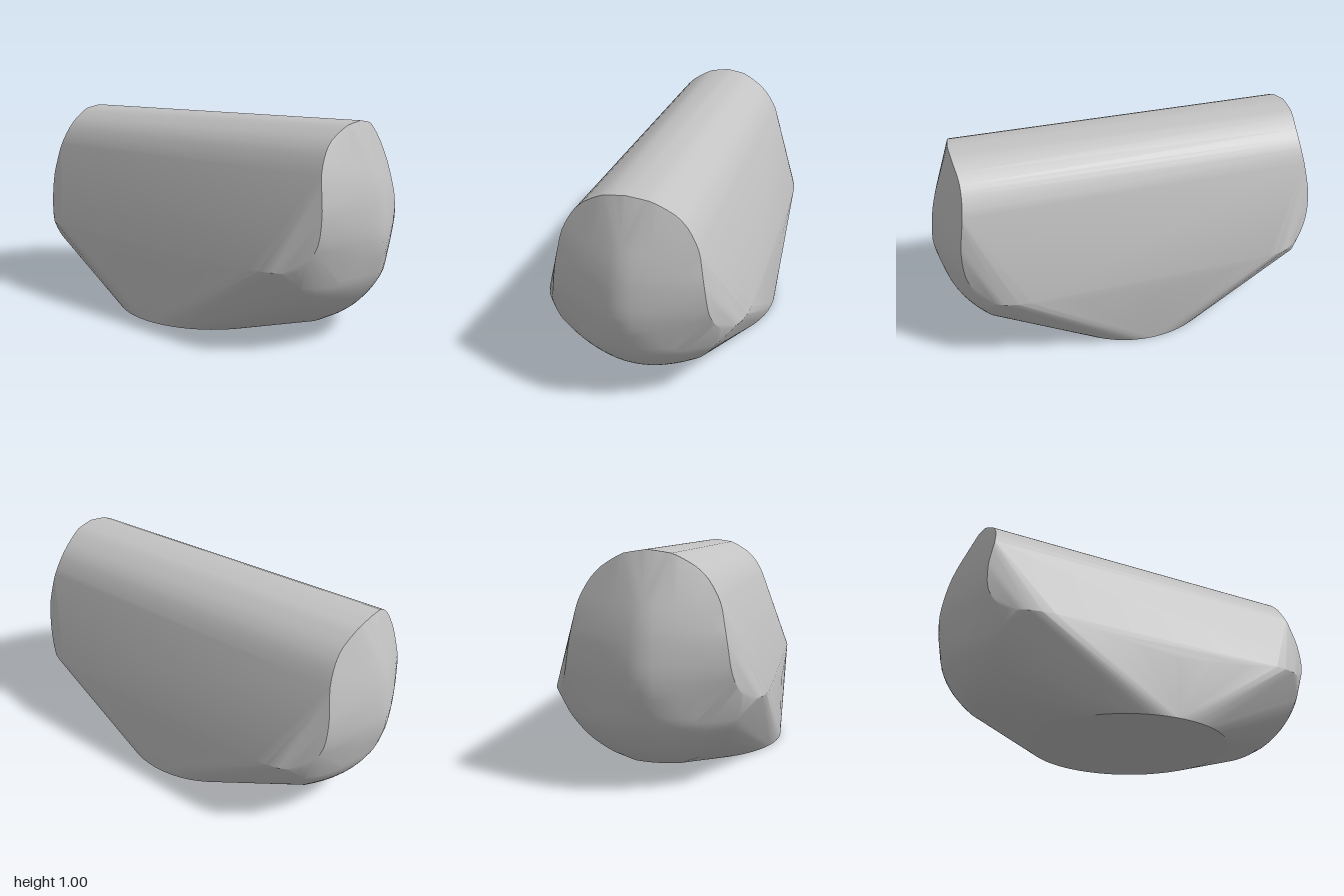
import * as THREE from 'three';
import { ConvexGeometry } from 'three/addons/geometries/ConvexGeometry.js';
import { toCreasedNormals } from 'three/addons/utils/BufferGeometryUtils.js';

// End cap sections from top to bottom: y, centre z, half width, edge z
const SECTIONS = [
  [1, 0.86, 0, 0.86],
  [0.985, 0.865, 0.1, 0.853],
  [0.93, 0.885, 0.2, 0.838],
  [0.88, 0.905, 0.25, 0.838],
  [0.79, 0.94, 0.3, 0.85],
  [0.7, 0.968, 0.32, 0.868],
  [0.62, 0.985, 0.335, 0.88],
  [0.5, 1, 0.355, 0.876],
  [0.42, 0.993, 0.385, 0.84],
  [0.38, 0.983, 0.41, 0.8],
  [0.3, 0.96, 0.37, 0.81],
  [0.24, 0.93, 0.33, 0.8],
  [0.18, 0.887, 0.29, 0.77],
  [0.14, 0.85, 0.25, 0.75],
  [0.1, 0.8, 0.19, 0.735],
  [0.06, 0.73, 0.1, 0.715],
];

// Widest points of the sides: x, y, z
const SIDES = [
  [0.49, 0.3, 0], [0.488, 0.32, 0.2], [0.485, 0.345, 0.4],
  [0.48, 0.38, 0.6], [0.474, 0.38, 0.66], [0.46, 0.38, 0.72], [0.44, 0.38, 0.76],
];

export function createModel() {
  const grey = new THREE.MeshStandardMaterial({ color: 0xc2c2c2 });
  grey.name = 'plain grey';

  const points = [];
  // Adds a point to all four mirrored quarters
  const add = (x, y, z) => {
    for (const sx of x > 0.001 ? [1, -1] : [1]) {
      for (const sz of z > 0.001 ? [1, -1] : [1]) points.push(new THREE.Vector3(x * sx, y, z * sz));
    }
  };

  // Rounded ends, whose upper rims also span the arched roof
  const centre = new THREE.CatmullRomCurve3(SECTIONS.map(([y, z]) => new THREE.Vector3(0, y, z)));
  const rim = new THREE.CatmullRomCurve3(SECTIONS.map(([y, , w, z]) => new THREE.Vector3(w, y, z)));
  const rows = 45;
  for (let i = 0; i <= rows; i++) {
    const c = centre.getPoint(i / rows);
    const r = rim.getPoint(i / rows);
    const bulge = 1.3 + 0.7 * THREE.MathUtils.smoothstep(1 - c.y, 0.5, 0.8);
    const steps = r.x < 0.001 ? 0 : 7;
    for (let j = 0; j <= steps; j++) {
      const t = steps ? j / steps : 0;
      add(r.x * t, c.y, c.z + (r.z - c.z) * Math.pow(t, bulge));
    }
  }

  // Side ridges
  SIDES.forEach((p) => add(...p));

  // Flat round base
  for (let i = 0; i <= 16; i++) {
    const a = (i / 16) * Math.PI / 2;
    add(0.49 * Math.cos(a), 0, 0.5 * Math.sin(a));
  }

  const body = new THREE.Mesh(toCreasedNormals(new ConvexGeometry(points), 0.5), grey);
  body.name = 'archedBody';

  const model = new THREE.Group();
  model.name = 'archedBlock';
  model.add(body);
  return model;
}
